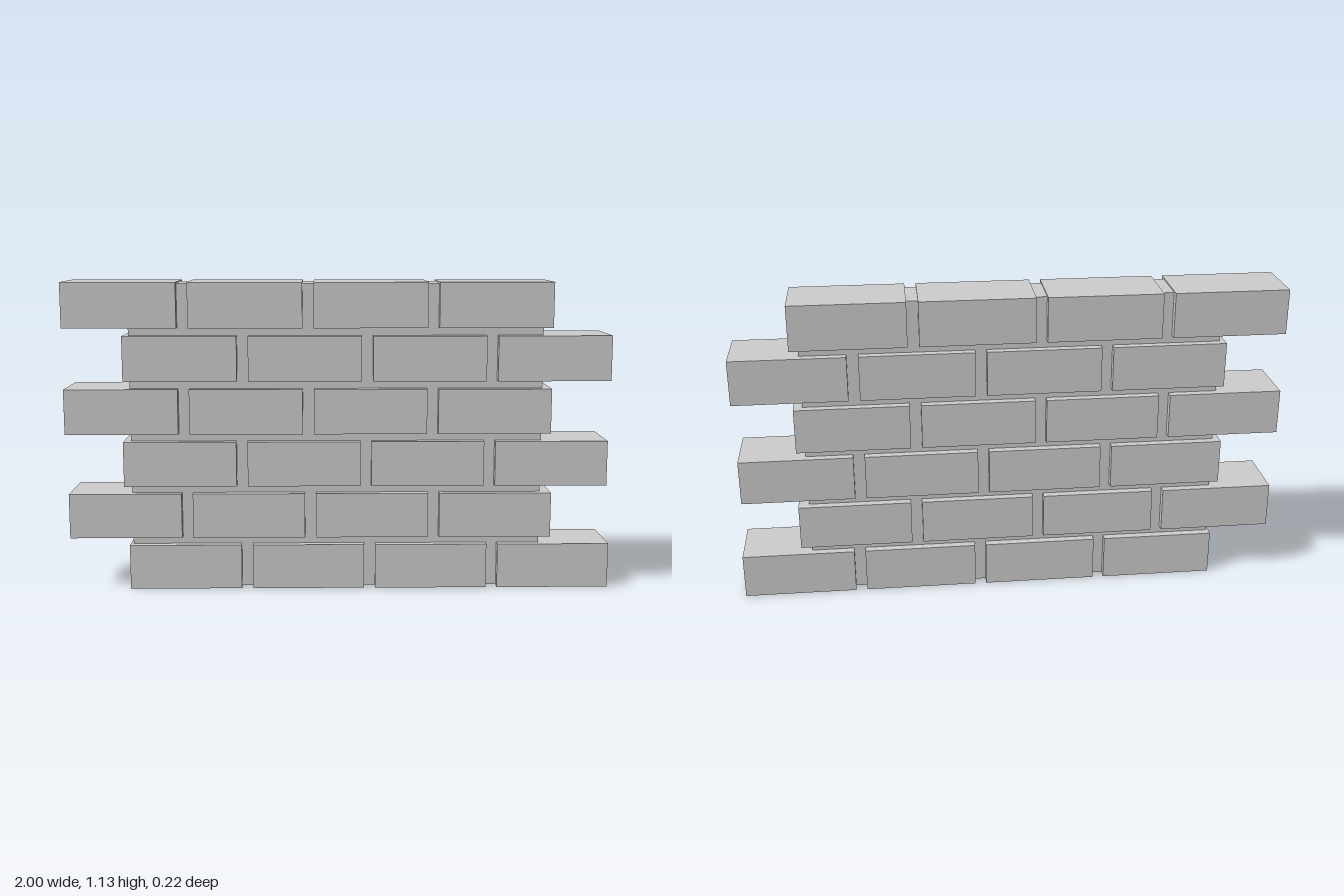
import * as THREE from 'three';

const material = new THREE.MeshStandardMaterial({ color: 0xcccccc, flatShading: true });

function box(name, w, h, d, x, y) {
  const mesh = new THREE.Mesh(new THREE.BoxGeometry(w, h, d), material);
  mesh.name = name;
  mesh.position.set(x, y, 0);
  return mesh;
}

export function createModel() {
  const wall = new THREE.Group();
  wall.name = 'brickWall';

  // Recessed mortar core behind the brick faces
  const left = -0.765, right = 0.74, bottom = 0.003, top = 1.125;
  wall.add(box('mortar', right - left, top - bottom, 0.166, (left + right) / 2, (bottom + top) / 2));

  // Staggered courses, each starting at a slightly uneven x
  const brickW = 0.412, brickH = 0.165, brickD = 0.225;
  const pitchX = 0.453, pitchY = 0.193;
  const courseStarts = [-0.775, -0.993, -0.79, -1, -0.785, -1];
  courseStarts.forEach((start, row) => {
    const course = new THREE.Group();
    course.name = `course${row + 1}`;
    for (let i = 0; i < 4; i++) {
      course.add(box('brick', brickW, brickH, brickD,
        start + brickW / 2 + i * pitchX, brickH / 2 + row * pitchY));
    }
    wall.add(course);
  });

  return wall;
}
